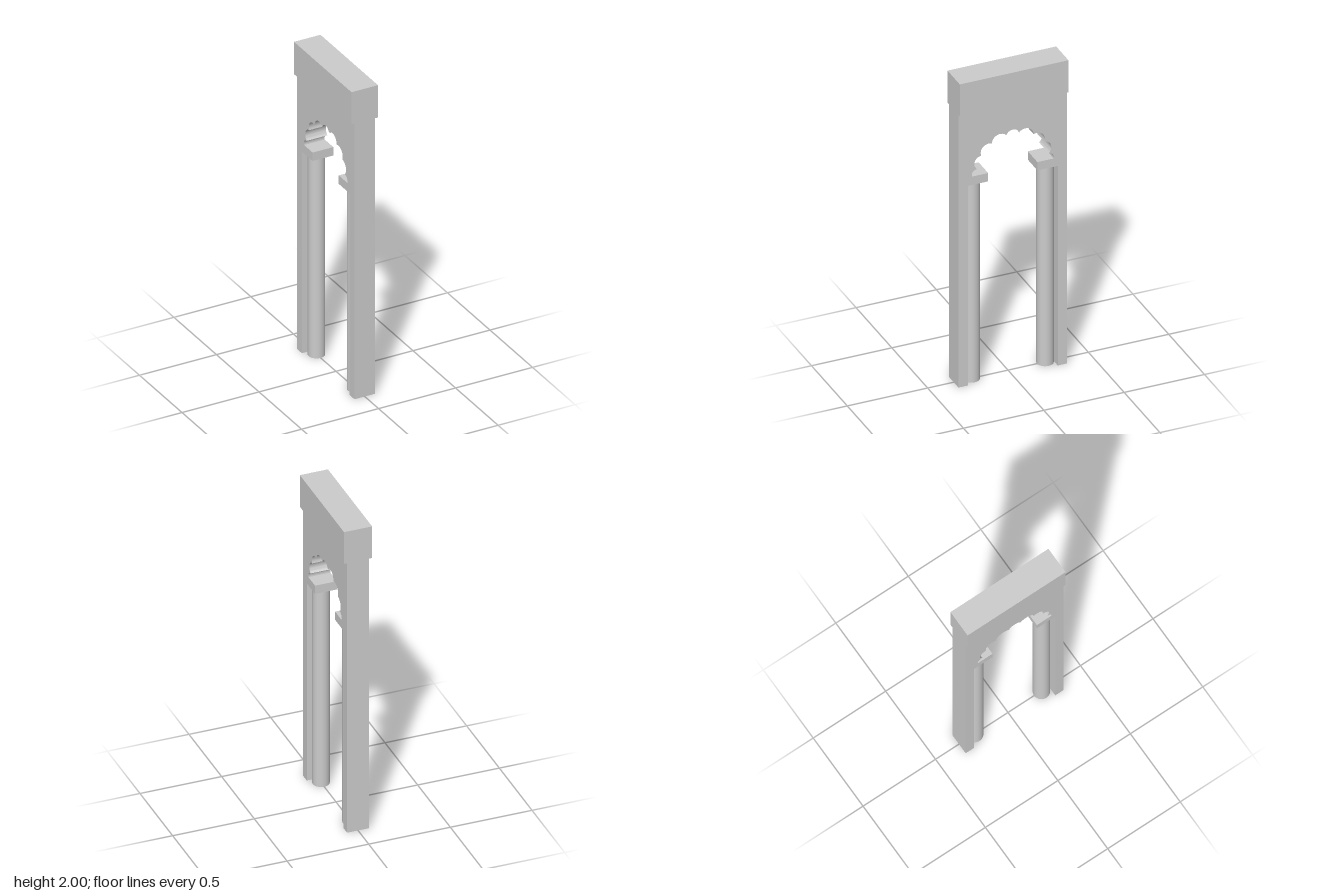
import * as THREE from 'three';
import { toCreasedNormals } from 'three/addons/utils/BufferGeometryUtils.js';

const material = new THREE.MeshStandardMaterial({ color: 0xcccccc });
const HALF_WIDTH = 0.338, THICKNESS = 0.134, JAMB = 0.28;
const COLUMN_TOP = 1.31, SPRING = 1.365, WALL_TOP = 1.79;

function add(parent, name, geometry, x = 0, y = 0, z = 0) {
  const mesh = new THREE.Mesh(geometry, material);
  mesh.name = name;
  mesh.position.set(x, y, z);
  parent.add(mesh);
  return mesh;
}

// Points of a circular arc from a to b, bulging to the left by bulge * chord
function lobe(a, b, bulge, steps = 12) {
  const half = 2 * Math.atan(2 * bulge);
  const chord = b.clone().sub(a);
  const radius = chord.length() / (2 * Math.sin(half));
  const normal = new THREE.Vector2(-chord.y, chord.x).normalize();
  const centre = a.clone().add(b).multiplyScalar(0.5)
    .addScaledVector(normal, -radius * Math.cos(half));
  const start = Math.atan2(a.y - centre.y, a.x - centre.x);
  const points = [];
  for (let i = 1; i <= steps; i++) {
    const t = start - (2 * half * i) / steps;
    points.push(new THREE.Vector2(centre.x + radius * Math.cos(t), centre.y + radius * Math.sin(t)));
  }
  return points;
}

// Cusps of the scalloped arch, from left springing to right springing
function archPoints() {
  const left = [[-0.254, SPRING], [-0.223, 1.407], [-0.196, 1.489], [-0.13, 1.553], [-0.04, 1.587]];
  const right = left.map(([x, y]) => [-x, y]).reverse();
  const cusps = [...left, ...right].map(([x, y]) => new THREE.Vector2(x, y));
  const points = [cusps[0]];
  for (let i = 0; i < cusps.length - 1; i++) {
    const end = i === 0 || i === cusps.length - 2;
    points.push(...lobe(cusps[i], cusps[i + 1], end ? 0.25 : 0.34));
  }
  return points;
}

export function createModel() {
  const model = new THREE.Group();
  model.name = 'scallopedArchway';

  // Wall with piers and the scalloped opening
  const outline = new THREE.Shape([
    new THREE.Vector2(HALF_WIDTH, 0),
    new THREE.Vector2(HALF_WIDTH, WALL_TOP),
    new THREE.Vector2(-HALF_WIDTH, WALL_TOP),
    new THREE.Vector2(-HALF_WIDTH, 0),
    new THREE.Vector2(-JAMB, 0),
    new THREE.Vector2(-JAMB, SPRING),
    ...archPoints(),
    new THREE.Vector2(JAMB, SPRING),
    new THREE.Vector2(JAMB, 0),
  ]);
  const wall = new THREE.ExtrudeGeometry(outline, { depth: THICKNESS, bevelEnabled: false });
  wall.translate(0, 0, -THICKNESS / 2);
  wall.rotateY(Math.PI / 2);
  add(model, 'archWall', toCreasedNormals(wall, 0.6));

  // Overhanging block on top
  add(model, 'cornice', new THREE.BoxGeometry(0.172, 2 - WALL_TOP, 2 * HALF_WIDTH), 0, (2 + WALL_TOP) / 2, 0);

  // Round column and square capital on each side of the opening
  const capInner = 0.153;
  for (const side of [1, -1]) {
    const support = new THREE.Group();
    support.name = side > 0 ? 'frontSupport' : 'backSupport';
    add(support, 'column', new THREE.CylinderGeometry(0.05, 0.05, COLUMN_TOP, 48),
      0, COLUMN_TOP / 2, side * 0.23);
    add(support, 'capital', new THREE.BoxGeometry(THICKNESS, SPRING - COLUMN_TOP, JAMB - capInner),
      0, (SPRING + COLUMN_TOP) / 2, side * (JAMB + capInner) / 2);
    model.add(support);
  }
  return model;
}
